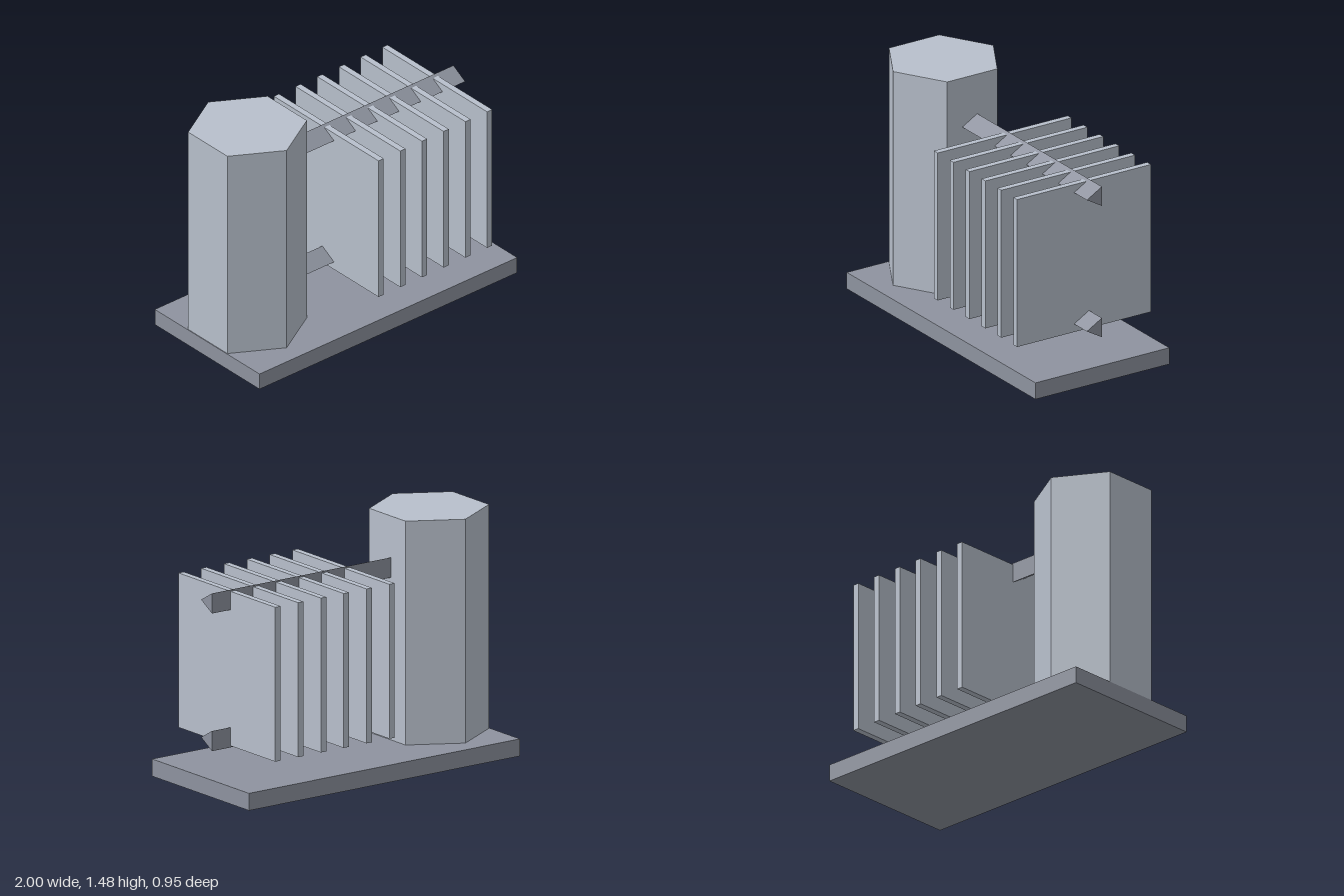
import * as THREE from 'three';

export function createModel() {
  const group = new THREE.Group();

  const lightSteel = new THREE.MeshStandardMaterial({ color: 0xb8c0cc, flatShading: true });
  lightSteel.name = 'lightSteel';
  const darkSteel = new THREE.MeshStandardMaterial({ color: 0x8e939f, flatShading: true });
  darkSteel.name = 'darkSteel';

  const add = (name, geometry, material, x, y, z = 0) => {
    const mesh = new THREE.Mesh(geometry, material);
    mesh.name = name;
    mesh.position.set(x, y, z);
    group.add(mesh);
    return mesh;
  };

  // Base slab
  add('base', new THREE.BoxGeometry(2, 0.105, 0.95), darkSteel, 0, 0.0525);

  // Hexagonal tank, corners pointing front and back
  add('tank', new THREE.CylinderGeometry(0.356, 0.356, 1.37, 6), lightSteel, -0.687, 0.79);

  // Row of cooling fins
  const finGeometry = new THREE.BoxGeometry(0.04, 0.945, 0.95);
  for (let i = 0; i < 6; i++) {
    add('fin' + (i + 1), finGeometry, lightSteel, -0.056 + i * 0.1684, 0.739);
  }

  // Three-sided pipes running from the tank through the fins, ridge to the front
  const start = -0.6, end = 0.942;
  const pipeGeometry = new THREE.CylinderGeometry(0.071, 0.071, end - start, 3).rotateZ(Math.PI / 2);
  add('lowerPipe', pipeGeometry, darkSteel, (start + end) / 2, 0.318);
  add('upperPipe', pipeGeometry, darkSteel, (start + end) / 2, 1.16);

  return group;
}
